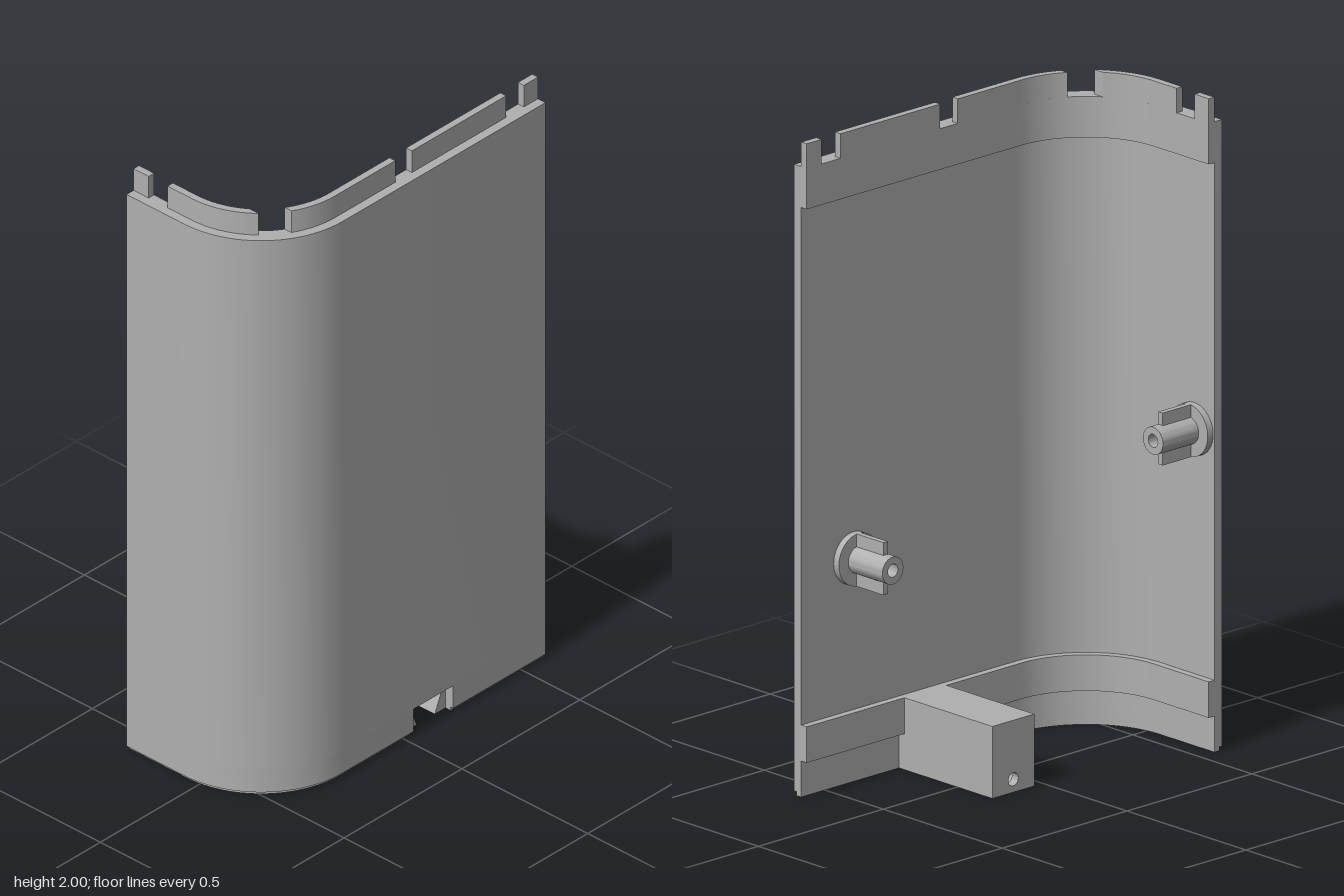
import * as THREE from 'three';
import { toCreasedNormals } from 'three/addons/utils/BufferGeometryUtils.js';

// Plan of the curved panel: a straight side, a quarter bend, a short front
const CX = -0.05, CZ = 0.265;
const BACK = -0.595, FRONT_END = -0.28;
const OUTER = 0.325, MID = 0.295, INNER = 0.272;

export function createModel() {
  const model = new THREE.Group();
  const grey = new THREE.MeshStandardMaterial({ color: 0xb0b0b0 });
  grey.name = 'plain grey';

  function add(parent, name, geometry) {
    const mesh = new THREE.Mesh(geometry, grey);
    mesh.name = name;
    parent.add(mesh);
    return mesh;
  }

  function extrude(shape, depth) {
    const g = new THREE.ExtrudeGeometry(shape, { depth, bevelEnabled: false, curveSegments: 24 });
    return toCreasedNormals(g, 0.5);
  }

  // Points along the plan at radius r, from one z cut to another z cut or to an x on the front
  function planPoints(r, fromZ, { z, x }) {
    const angle = (cut) => (cut <= CZ ? 0 : Math.asin((cut - CZ) / r));
    const a0 = angle(fromZ);
    const a1 = z === undefined ? Math.PI / 2 : angle(z);
    const pts = [];
    if (fromZ <= CZ) pts.push([CX + r, fromZ]);
    if (a1 > a0) {
      for (let i = 0; i <= 24; i++) {
        const a = a0 + ((a1 - a0) * i) / 24;
        pts.push([CX + r * Math.cos(a), CZ + r * Math.sin(a)]);
      }
    }
    if (x !== undefined) pts.push([x, CZ + r]);
    else if (z <= CZ) pts.push([CX + r, z]);
    return pts;
  }

  // Upright strip that follows the plan between two radii
  function strip(name, rOut, rIn, y0, y1, fromZ, to) {
    const pts = [...planPoints(rOut, fromZ, to), ...planPoints(rIn, fromZ, to).reverse()];
    const shape = new THREE.Shape(pts.map(([px, pz]) => new THREE.Vector2(px, -pz)));
    const g = extrude(shape, y1 - y0);
    g.rotateX(-Math.PI / 2);
    g.translate(0, y0, 0);
    return add(model, name, g);
  }

  const full = { x: FRONT_END };
  const NOTCH_BACK = -0.203, NOTCH_FRONT = -0.035;

  // Main wall, with a notch at the foot of the side
  strip('wall', OUTER, MID, 0.09, 1.925, BACK, full);
  strip('wallFootBack', OUTER, MID, 0.012, 0.09, BACK, { z: NOTCH_BACK });
  strip('wallFootFront', OUTER, MID, 0.012, 0.09, NOTCH_FRONT, full);
  strip('bottomStepBack', OUTER - 0.01, MID, 0, 0.012, BACK, { z: NOTCH_BACK });
  strip('bottomStepFront', OUTER - 0.01, MID, 0, 0.012, NOTCH_FRONT, full);

  // Inner thickening bands
  strip('lowerBand', MID, INNER, 0.11, 0.22, BACK, full);
  strip('upperBand', MID, INNER, 1.8, 1.925, BACK, full);

  // Joining tabs along the top
  const tabs = [
    [BACK, { z: -0.535 }],
    [-0.46, { z: -0.06 }],
    [0.01, { z: 0.41 }],
    [0.485, { x: -0.145 }],
  ];
  for (const [from, to] of tabs) strip('topTab', MID, INNER, 1.925, 2, from, to);
  add(model, 'topTab', new THREE.BoxGeometry(0.06, 0.075, MID - INNER))
    .position.set(FRONT_END + 0.03, 1.9625, CZ + (MID + INNER) / 2);

  // Screw boss built along +z from the wall face: flange, hollow post, vertical fin
  function boss(name) {
    const group = new THREE.Group();
    group.name = name;
    const disc = new THREE.CylinderGeometry(0.08, 0.08, 0.022, 40);
    disc.rotateX(Math.PI / 2);
    add(group, 'flange', disc).position.z = 0.011;
    const ring = new THREE.Shape().absarc(0, 0, 0.042, 0, Math.PI * 2, false);
    ring.holes.push(new THREE.Path().absarc(0, 0, 0.02, 0, Math.PI * 2, true));
    add(group, 'post', extrude(ring, 0.143)).position.z = 0.022;
    for (const s of [-1, 1]) {
      add(group, 'fin', new THREE.BoxGeometry(0.018, 0.045, 0.113))
        .position.set(0, s * 0.0575, 0.0785);
    }
    model.add(group);
    return group;
  }
  const sideBoss = boss('sideBoss');
  sideBoss.position.set(CX + MID, 0.683, -0.385);
  sideBoss.rotation.y = -Math.PI / 2;
  const frontBoss = boss('frontBoss');
  frontBoss.position.set(-0.195, 0.968, CZ + MID);
  frontBoss.rotation.y = Math.PI;

  // Bracket arm with a dovetail slot underneath and a drilled end wall
  const arm = new THREE.Group();
  arm.name = 'bracketArm';
  const slot = new THREE.Shape([
    [-0.084, 0], [-0.038, 0], [-0.072, 0.078], [0.072, 0.078],
    [0.038, 0], [0.084, 0], [0.084, 0.22], [-0.084, 0.22],
  ].map(([px, py]) => new THREE.Vector2(px, py)));
  const endWall = new THREE.Shape([
    [-0.084, 0], [0.084, 0], [0.084, 0.22], [-0.084, 0.22],
  ].map(([px, py]) => new THREE.Vector2(px, py)));
  endWall.holes.push(new THREE.Path().absarc(0, 0.04, 0.02, 0, Math.PI * 2, true));
  add(arm, 'armBody', extrude(slot, 0.365)).position.z = 0.027;
  add(arm, 'armEnd', extrude(endWall, 0.027));
  arm.rotation.y = Math.PI / 2;
  arm.position.set(-0.147, 0, -0.119);
  model.add(arm);

  return model;
}
